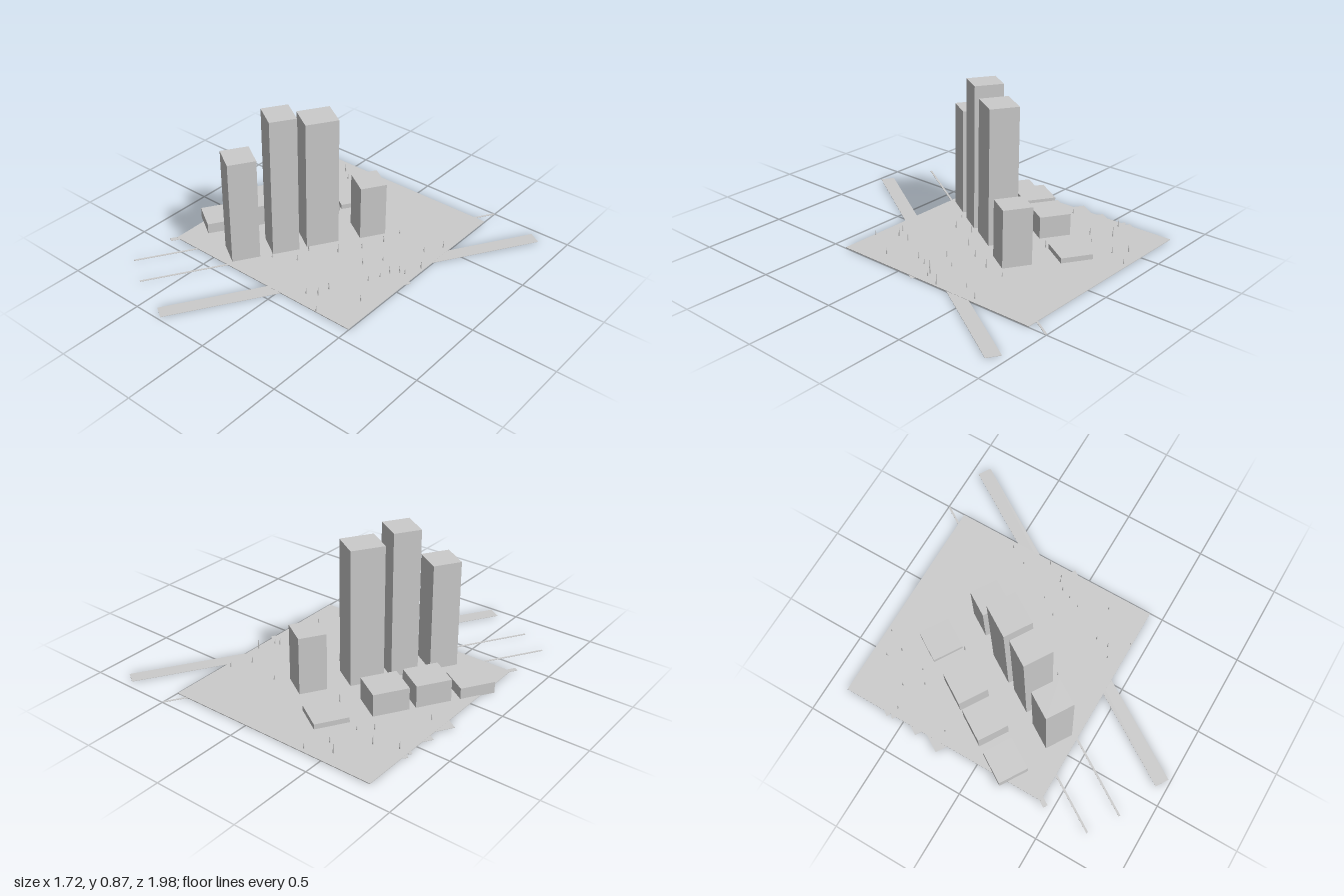
import * as THREE from 'three';

const TURN = -0.56; // the whole street grid is turned by about 32 degrees
const grey = new THREE.MeshStandardMaterial({ color: 0xcccccc, flatShading: true });

// Box standing on height y, centred on x and z
function block(name, x, z, w, d, h, y = 0, turn = TURN) {
  const mesh = new THREE.Mesh(new THREE.BoxGeometry(w, h, d), grey);
  mesh.name = name;
  mesh.position.set(x, y + h / 2, z);
  mesh.rotation.y = turn;
  return mesh;
}

// Flat plot placed by its leftmost corner, running along the street grid
function plot(x, z, w, d) {
  const corner = new THREE.Vector3(-w / 2, 0, d / 2).applyAxisAngle(new THREE.Vector3(0, 1, 0), TURN);
  return block('plot', x - corner.x, z - corner.z, w, d, 0.002, 0.001);
}

export function createModel() {
  const model = new THREE.Group();
  model.name = 'cityBlock';

  // Ground slab
  model.add(block('ground', -0.153, -0.235, 1.3, 1.306, 0.004, 0, 0));

  // Streets, embedded in the slab and running out past its edges
  const streets = new THREE.Group();
  streets.name = 'streets';
  streets.add(
    block('mainRoad', 0.224, 0.013, 0.083, 2.24, 0.002, 0.001),
    block('lane', -0.079, -0.077, 0.012, 2.17, 0.002, 0.001),
    block('lane', -0.4, 0.05, 0.012, 1.61, 0.002, 0.001),
    block('sideStreet', -0.69, 0.253, 0.028, 0.48, 0.002, 0.001)
  );
  model.add(streets);

  // Plots whose corners show beyond the slab
  const plots = new THREE.Group();
  plots.name = 'plots';
  plots.add(
    plot(-0.863, -0.243, 0.19, 0.2),
    plot(-0.837, -0.4, 0.19, 0.16),
    plot(-0.825, -0.602, 0.15, 0.03),
    plot(-0.823, -0.565, 0.15, 0.02),
    block('plot', 0.468, -0.105, 0.08, 0.06, 0.002, 0.001)
  );
  model.add(plots);

  // Buildings: x, z, width, depth, height
  const buildings = new THREE.Group();
  buildings.name = 'buildings';
  [
    ['lowPavilion', -0.277, -0.571, 0.188, 0.195, 0.034],
    ['midRise', 0, -0.382, 0.17, 0.158, 0.345],
    ['lowBuilding', -0.448, -0.288, 0.186, 0.206, 0.135],
    ['tower', -0.174, -0.13, 0.172, 0.195, 0.813],
    ['lowBuilding', -0.575, -0.08, 0.19, 0.203, 0.135],
    ['tower', -0.285, 0.066, 0.171, 0.158, 0.87],
    ['lowBuilding', -0.715, 0.135, 0.184, 0.203, 0.068],
    ['tower', -0.412, 0.267, 0.169, 0.165, 0.645]
  ].forEach((b) => buildings.add(block(...b)));
  model.add(buildings);

  // Slender trees scattered over the open ground
  const trees = new THREE.Group();
  trees.name = 'trees';
  const cone = new THREE.ConeGeometry(0.005, 1, 5);
  cone.translate(0, 0.5, 0);
  [
    [-0.37, -0.86], [-0.51, -0.8], [-0.44, -0.74], [-0.62, -0.62], [-0.55, -0.51],
    [-0.48, -0.57], [-0.75, -0.57], [-0.73, -0.26], [-0.25, -0.42], [0.46, -0.51],
    [0.18, -0.46], [0.16, -0.33], [0.4, -0.4], [0.48, -0.26], [0.1, -0.2],
    [0.27, -0.18], [0.41, -0.15], [0.44, -0.16], [0.02, -0.08], [0.2, -0.08],
    [0.35, -0.05], [0.37, -0.11], [0.32, 0.02], [-0.12, 0.02], [-0.11, 0.13],
    [-0.24, 0.2], [0.2, 0.22], [0.13, 0.33], [0.19, 0.3], [0.4, 0.19], [0.27, 0.41]
  ].forEach(([x, z], i) => {
    const tree = new THREE.Mesh(cone, grey);
    tree.name = 'tree';
    tree.position.set(x, 0.003, z);
    tree.scale.y = 0.03 + 0.008 * ((i * 3) % 5);
    trees.add(tree);
  });
  model.add(trees);

  return model;
}
